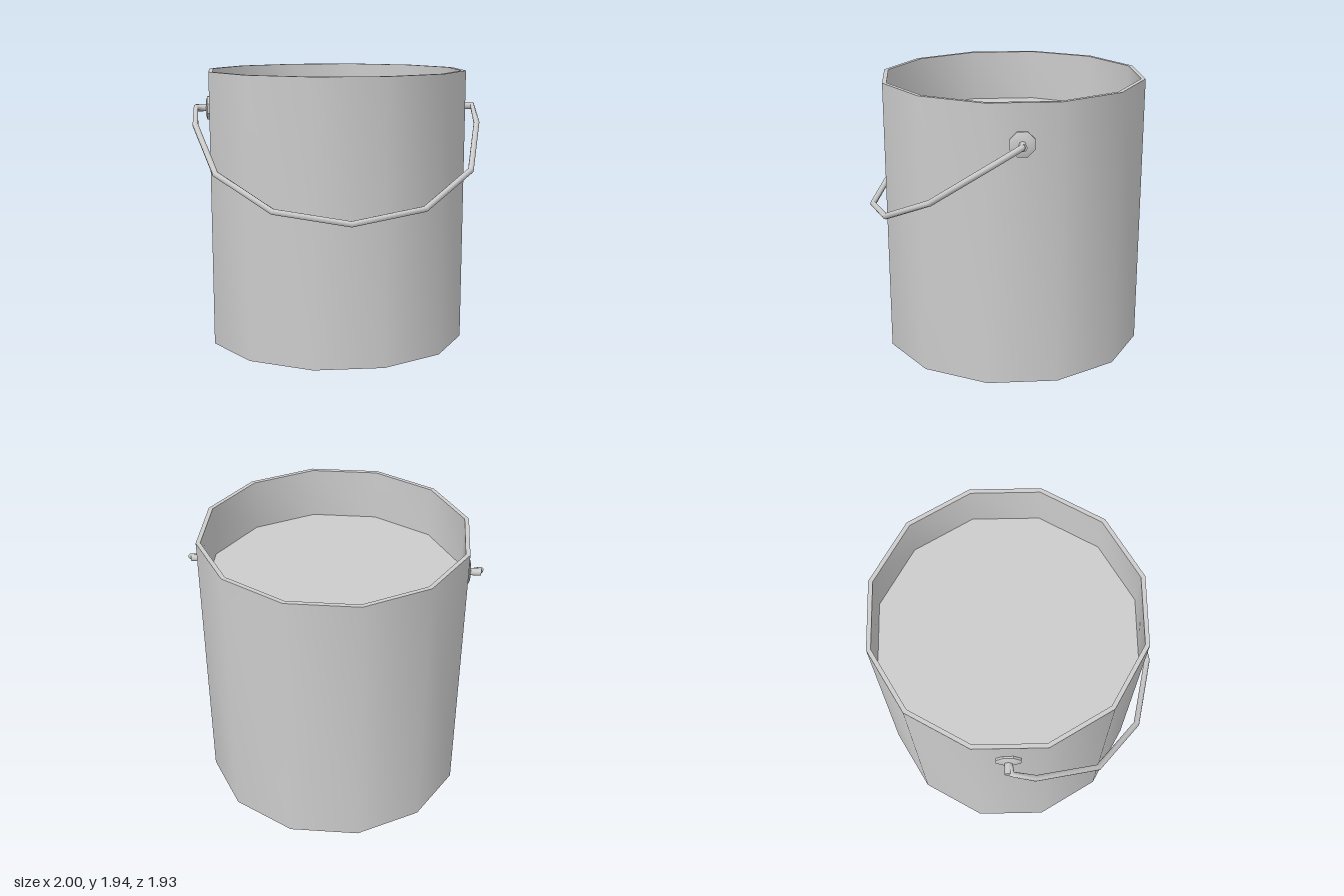
import * as THREE from 'three';
import { toCreasedNormals } from 'three/addons/utils/BufferGeometryUtils.js';

const material = new THREE.MeshStandardMaterial({ color: 0xcccccc });
const CX = -0.025, CZ = -0.045; // axis of the can
const EAR_Y = 1.675;

// Surface of revolution with smooth sides and sharp rims
function turned(profile, segments) {
  const points = profile.map(([x, y]) => new THREE.Vector2(x, y));
  return toCreasedNormals(new THREE.LatheGeometry(points, segments), 0.7);
}

// Wire that bends sharply at each given point
class BentWire extends THREE.Curve {
  constructor(points) {
    super();
    this.points = points;
  }
  getUtoTmapping(u) {
    return u;
  }
  getPoint(t, target = new THREE.Vector3()) {
    const n = this.points.length - 1;
    const i = Math.min(Math.floor(t * n + 1e-6), n - 1);
    return target.lerpVectors(this.points[i], this.points[i + 1], t * n - i);
  }
  getTangent(t, target = new THREE.Vector3()) {
    const p = this.points, n = p.length - 1, i = Math.round(t * n);
    const direction = (a, b) => p[b].clone().sub(p[a]).normalize();
    target.set(0, 0, 0);
    if (i > 0) target.add(direction(i - 1, i));
    if (i < n) target.add(direction(i, i + 1));
    return target.normalize();
  }
}

export function createModel() {
  const group = new THREE.Group();
  const add = (name, geometry, parent = group) => {
    const mesh = new THREE.Mesh(geometry, material);
    mesh.name = name;
    parent.add(mesh);
    return mesh;
  };

  // Twelve-sided can: shallow base, wall, rim and recessed top surface
  const can = add('can', turned([
    [0, 0], [0.92, 0.015], [0.925, 1.94], [0.895, 1.94], [0.895, 1.575], [0, 1.575],
  ], 12));
  can.position.set(CX, 0, CZ);

  // Ears: an octagonal plate and a short peg on opposite sides
  const plate = turned([[0, -0.02], [0.088, -0.02], [0.088, 0.008], [0.06, 0.018], [0, 0.02]], 8);
  plate.rotateY(Math.PI / 8);
  plate.rotateZ(-Math.PI / 2);
  const peg = new THREE.CylinderGeometry(0.025, 0.025, 0.09, 8);
  peg.rotateZ(-Math.PI / 2);
  for (const [name, turn] of [['leftEar', 0], ['rightEar', Math.PI]]) {
    const ear = new THREE.Group();
    ear.name = name;
    const angle = turn + 0.25;
    ear.rotation.y = angle;
    ear.position.set(CX + 0.9 * Math.cos(angle), EAR_Y, CZ - 0.9 * Math.sin(angle));
    add('earPlate', plate, ear);
    add('earPeg', peg, ear).position.x = 0.045;
    group.add(ear);
  }

  // Wire handle hanging down across the front
  const path = [
    [-0.93, 1.675, 0.195], [-0.978, 1.68, 0.22], [-0.94, 1.57, 0.37], [-0.7, 1.29, 0.745],
    [-0.275, 1.085, 0.94], [0.235, 1.015, 0.92], [0.685, 1.085, 0.69], [0.96, 1.29, 0.31],
    [0.98, 1.57, -0.11], [0.94, 1.68, -0.285], [0.88, 1.675, -0.28],
  ].map((p) => new THREE.Vector3(...p));
  add('handle', new THREE.TubeGeometry(new BentWire(path), path.length - 1, 0.021, 8));

  return group;
}
